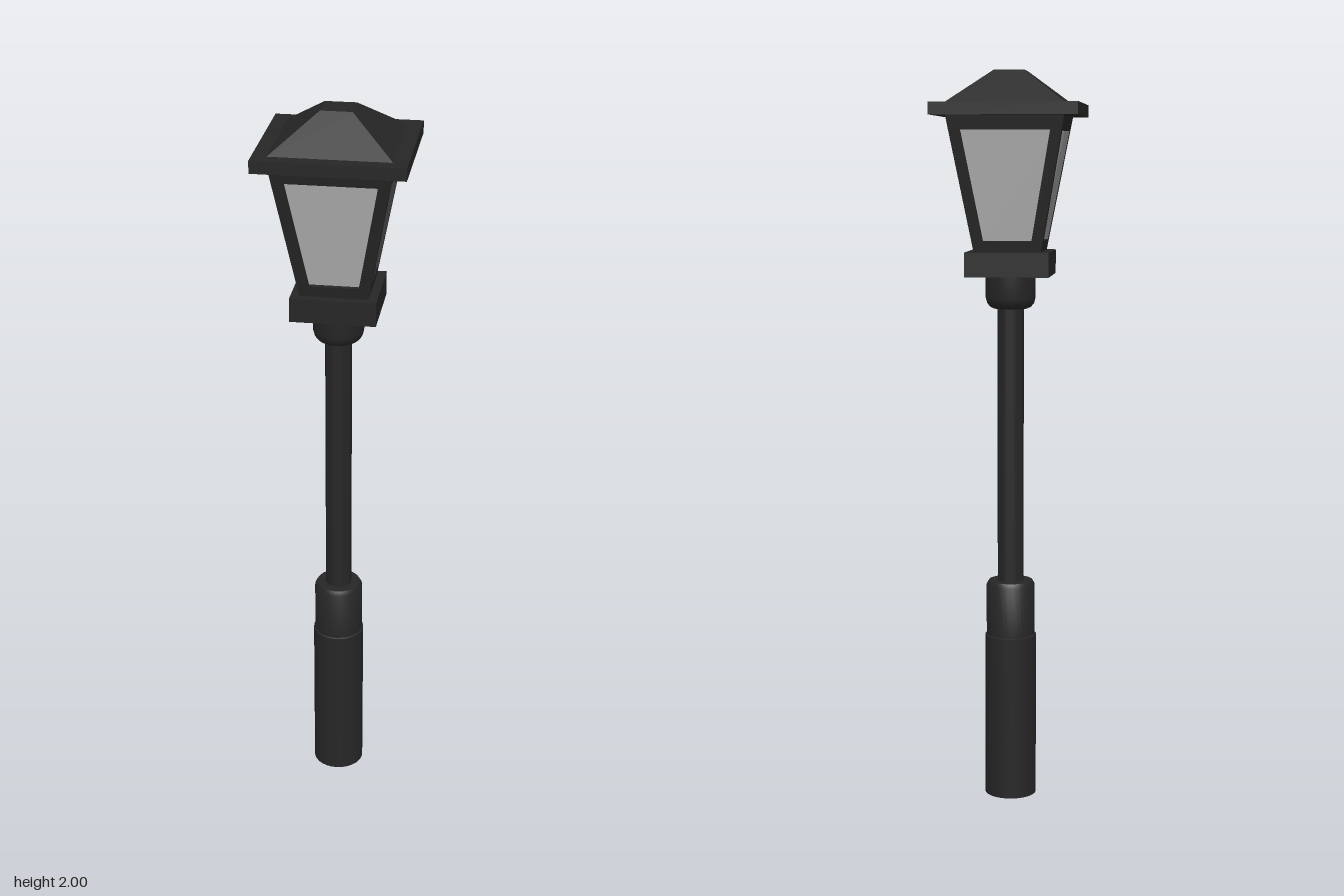
import * as THREE from 'three';
import { toCreasedNormals } from 'three/addons/utils/BufferGeometryUtils.js';

const DEPTH = 0.97; // lantern is slightly shallower than wide

export function createModel() {
  const model = new THREE.Group();
  model.name = 'lampPost';

  const metal = new THREE.MeshStandardMaterial({ color: 0x262626 });
  metal.name = 'blackMetal';
  const glass = new THREE.MeshStandardMaterial({ color: 0xb0b0b0 });
  glass.name = 'frostedGlass';

  const add = (name, geometry, material, parent = model) => {
    const mesh = new THREE.Mesh(geometry, material);
    mesh.name = name;
    parent.add(mesh);
    return mesh;
  };

  // Round part from a profile of [radius, y], sharp at its steps
  const turned = (name, points) => {
    const profile = points.map(([r, y]) => new THREE.Vector2(r, y));
    add(name, toCreasedNormals(new THREE.LatheGeometry(profile, 32), 0.6), metal);
  };

  // Square block given by half widths at bottom and top
  const block = (name, y0, y1, h0, h1, material, parent) => {
    const g = new THREE.CylinderGeometry(h1 * Math.SQRT2, h0 * Math.SQRT2, y1 - y0, 4).toNonIndexed();
    g.rotateY(Math.PI / 4);
    g.scale(1, 1, DEPTH);
    g.translate(0, (y0 + y1) / 2, 0);
    g.computeVertexNormals();
    return add(name, g, material, parent);
  };

  // Post: stepped base sleeve, slim pole, bowl-shaped collar
  turned('baseSleeve', [[0, 0], [0.071, 0], [0.071, 0.456], [0.067, 0.458],
    [0.067, 0.598], [0.06, 0.61], [0, 0.61]]);
  turned('pole', [[0.036, 0.6], [0.036, 1.38]]);
  turned('collar', [[0, 1.365], [0.046, 1.365], [0.056, 1.37], [0.064, 1.38],
    [0.068, 1.395], [0.068, 1.46]]);

  // Lantern
  const lantern = new THREE.Group();
  lantern.name = 'lantern';
  model.add(lantern);

  const bottom = 1.515, top = 1.885;
  const half = (y) => 0.09 + 0.183 * (y - 1.52);
  const bar = 0.03, inset = 0.014;

  block('lanternTray', 1.455, 1.52, 0.113, 0.113, metal, lantern);
  block('bottomRail', bottom, 1.55, half(bottom), half(1.55), metal, lantern);
  block('topRail', 1.842, top, half(1.842), half(top), metal, lantern);
  block('glassPanes', 1.54, 1.85, half(1.54) - inset, half(1.85) - inset, glass, lantern);

  // Leaning corner bars: upright boxes sheared along the taper
  for (const sx of [-1, 1]) {
    for (const sz of [-1, 1]) {
      const g = new THREE.BoxGeometry(bar, top - bottom, bar).toNonIndexed();
      g.translate(0, (top + bottom) / 2, 0);
      const p = g.attributes.position;
      for (let i = 0; i < p.count; i++) {
        const shift = half(p.getY(i)) - bar / 2;
        p.setX(i, p.getX(i) + sx * shift);
        p.setZ(i, (p.getZ(i) + sz * shift) * DEPTH);
      }
      g.computeVertexNormals();
      add('cornerBar', g, metal, lantern);
    }
  }

  // Roof: overhanging slab and truncated pyramid
  block('roofSlab', 1.88, 1.913, 0.195, 0.195, metal, lantern);
  block('roofPyramid', 1.912, 2.0, 0.158, 0.041, metal, lantern);

  return model;
}
